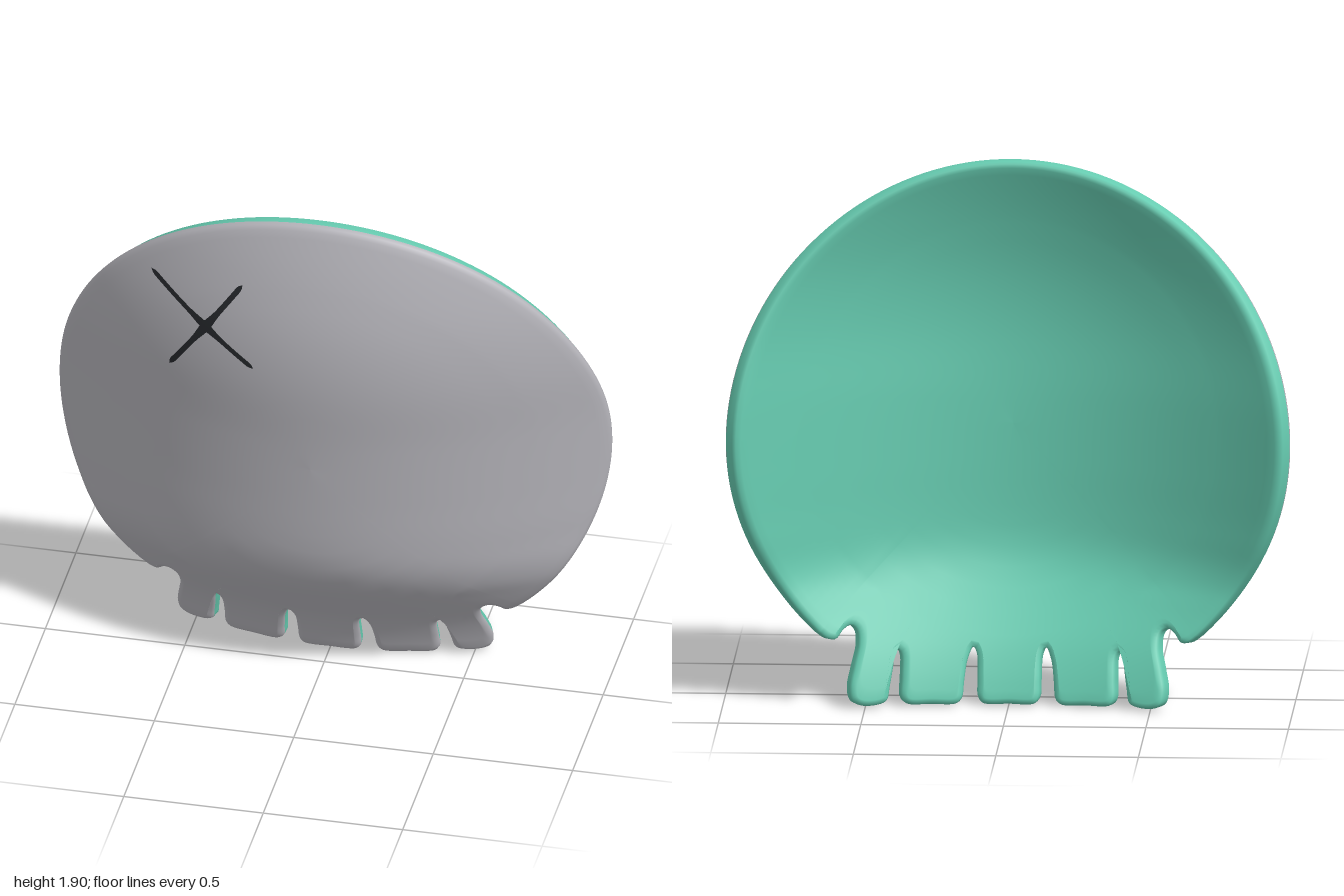
import * as THREE from 'three';

const grey = new THREE.MeshStandardMaterial({ color: 0xb5b4ba });
grey.name = 'pale grey';
const teal = new THREE.MeshStandardMaterial({ color: 0x66cbb0 });
teal.name = 'teal';
const ink = new THREE.MeshStandardMaterial({ color: 0x25272b, side: THREE.DoubleSide });
ink.name = 'ink black';

const CY = 0.95, RY = 0.955, THICK = 0.07, INNER = 0.76;

// Depth of the front along the middle line: [y, z]
const profile = [
  [-0.1, -0.135], [0, -0.092], [0.1, -0.053], [0.2, 0], [0.34, 0.1], [0.42, 0.155], [0.51, 0.192],
  [0.62, 0.208], [0.8, 0.22], [1.05, 0.237], [1.3, 0.257], [1.5, 0.247], [1.7, 0.205], [1.91, 0.138], [2, 0.1],
];
function middleZ(y) {
  let i = 1;
  while (i < profile.length - 3 && y > profile[i + 1][0]) i++;
  const [a, b, c, d] = profile.slice(i - 1, i + 3);
  const h = c[0] - b[0], t = (y - b[0]) / h;
  const m0 = (c[1] - a[1]) / (c[0] - a[0]) * h, m1 = (d[1] - b[1]) / (d[0] - b[0]) * h;
  const t2 = t * t, t3 = t2 * t;
  return (2 * t3 - 3 * t2 + 1) * b[1] + (t3 - 2 * t2 + t) * m0 + (3 * t2 - 2 * t3) * c[1] + (t3 - t2) * m1;
}

// Front surface: the middle line bent back towards both sides
function frontZ(x, y) {
  const bend = 0.34 + 0.08 * THREE.MathUtils.smoothstep(y, 0.2, 0.6);
  return middleZ(y) - bend * x * x;
}

// Point on the surface, sunk by a depth along the softened normal
function surface(x, y, depth) {
  const e = 0.01;
  const n = new THREE.Vector3(
    -(frontZ(x + e, y) - frontZ(x - e, y)) / (2 * e),
    -0.2 * (frontZ(x, y + e) - frontZ(x, y - e)) / (2 * e), 1).normalize();
  return new THREE.Vector3(x, y, frontZ(x, y)).addScaledVector(n, -depth);
}

// Lower edge with the teeth, from the right-hand corner to the middle
const toothEdge = [
  [0.69, 0.259], [0.655, 0.235], [0.625, 0.232], [0.6, 0.26], [0.575, 0.272], [0.552, 0.255], [0.545, 0.21],
  [0.56, 0.14], [0.572, 0.075], [0.562, 0.03], [0.53, 0.012], [0.47, 0.012], [0.44, 0.025], [0.43, 0.07],
  [0.42, 0.13], [0.414, 0.17], [0.402, 0.188], [0.39, 0.17], [0.388, 0.1], [0.388, 0.035], [0.37, 0.012],
  [0.28, 0.007], [0.19, 0.007], [0.17, 0.025], [0.163, 0.08], [0.152, 0.15], [0.132, 0.19], [0.118, 0.165],
  [0.114, 0.08], [0.112, 0.03], [0.095, 0.008], [0, 0.005],
];

// Outline (anticlockwise) with a matching smooth inner loop
function makeLoops() {
  const outer = [], inner = [];
  const start = -Math.acos(0.69), end = Math.PI - start, upper = 120, lower = 320;
  const ring = (a, s) => new THREE.Vector2(Math.cos(a) * s, CY + Math.sin(a) * RY * s);
  for (let i = 0; i < upper; i++) {
    const a = start + (end - start) * i / upper;
    outer.push(ring(a, 1));
    inner.push(ring(a, INNER));
  }
  const left = toothEdge.map(([x, y]) => new THREE.Vector3(-x, y, 0));
  const right = toothEdge.slice(0, -1).reverse().map(([x, y]) => new THREE.Vector3(x, y, 0));
  const edge = new THREE.CatmullRomCurve3([...left, ...right]);
  edge.arcLengthDivisions = 1500;
  edge.getSpacedPoints(lower).slice(0, -1).forEach((p, i) => {
    outer.push(new THREE.Vector2(p.x, p.y));
    const f = 2 * i / lower - 1;
    const a = -Math.PI / 2 + Math.sign(f) * Math.abs(f) ** 0.9 * (start + Math.PI / 2);
    inner.push(ring(a, INNER));
  });
  return { outer, inner };
}

// Joins rows of points into a smooth indexed geometry
function loft(rows, closed) {
  const n = rows[0].length, index = [];
  for (let r = 0; r < rows.length - 1; r++) {
    for (let c = 0; c < (closed ? n : n - 1); c++) {
      const d = (c + 1) % n, a = r * n, b = a + n;
      index.push(a + c, b + c, b + d, a + c, b + d, a + d);
    }
  }
  const geometry = new THREE.BufferGeometry().setFromPoints(rows.flat());
  geometry.setIndex(index);
  geometry.computeVertexNormals();
  return geometry;
}

// Curved shell: grey front, rounded rim, teal back
function makeShell() {
  const { outer, inner } = makeLoops(), n = outer.length;
  const centre = new THREE.Vector2(0, CY);
  const inward = outer.map((p, i) => {
    const t = outer[(i + 1) % n].clone().sub(outer[(i + n - 1) % n]).normalize();
    return new THREE.Vector2(-t.y, t.x);
  });
  const inset = (d) => outer.map((p, i) => p.clone().addScaledVector(inward[i], d));
  const sheet = [], lip = inset(0.02);
  for (let i = 0; i <= 10; i++) sheet.push(inner.map((p) => centre.clone().lerp(p, i / 10)));
  for (let i = 1; i <= 8; i++) sheet.push(inner.map((p, c) => p.clone().lerp(lip[c], i / 8)));
  const raise = (loop, depth) => loop.map((p) => surface(p.x, p.y, depth));

  const front = sheet.map((l) => raise(l, 0));
  front.push(raise(inset(0.006), 0.006), raise(outer, 0.018));
  const back = [raise(outer, THICK - 0.018), raise(inset(0.006), THICK - 0.006)];
  back.push(...sheet.slice().reverse().map((l) => raise(l, THICK)));

  const geometry = loft([...front, ...back], true);
  const split = (front.length - 1) * n * 6;
  geometry.addGroup(0, split, 0);
  geometry.addGroup(split, geometry.index.count - split, 1);
  const mesh = new THREE.Mesh(geometry, [grey, teal]);
  mesh.name = 'maskShell';
  return mesh;
}

// Thin painted stroke that follows the front, widest at the crossing
function makeStroke(x0, y0, x1, y1) {
  const from = new THREE.Vector2(x0, y0), to = new THREE.Vector2(x1, y1);
  const cross = new THREE.Vector2(-0.385, 1.472);
  const dir = to.clone().sub(from).normalize(), side = new THREE.Vector2(-dir.y, dir.x);
  const rows = [];
  for (let i = 0; i <= 40; i++) {
    const t = i / 40, p = from.clone().lerp(to, t);
    const tip = Math.min(1, Math.sqrt(Math.min(t, 1 - t) / 0.05));
    const half = (0.0095 + 0.007 * Math.exp(-((p.distanceTo(cross) / 0.05) ** 2))) * tip;
    rows.push([1, 0, -1].map((s) => {
      const q = p.clone().addScaledVector(side, s * half);
      return surface(q.x, q.y, -0.005);
    }));
  }
  const mesh = new THREE.Mesh(loft(rows, false), ink);
  mesh.name = 'eyeStroke';
  return mesh;
}

export function createModel() {
  const model = new THREE.Group();
  model.name = 'mask';
  const eye = new THREE.Group();
  eye.name = 'crossedEye';
  eye.add(makeStroke(-0.6, 1.615, -0.2, 1.353), makeStroke(-0.522, 1.272, -0.25, 1.662));
  // rows run along each stroke, so turn faces that point inwards
  eye.children.forEach((m) => {
    if (m.geometry.attributes.normal.getZ(60) < 0) {
      m.geometry.index.array.reverse();
      m.geometry.computeVertexNormals();
    }
  });
  model.add(makeShell(), eye);
  return model;
}
